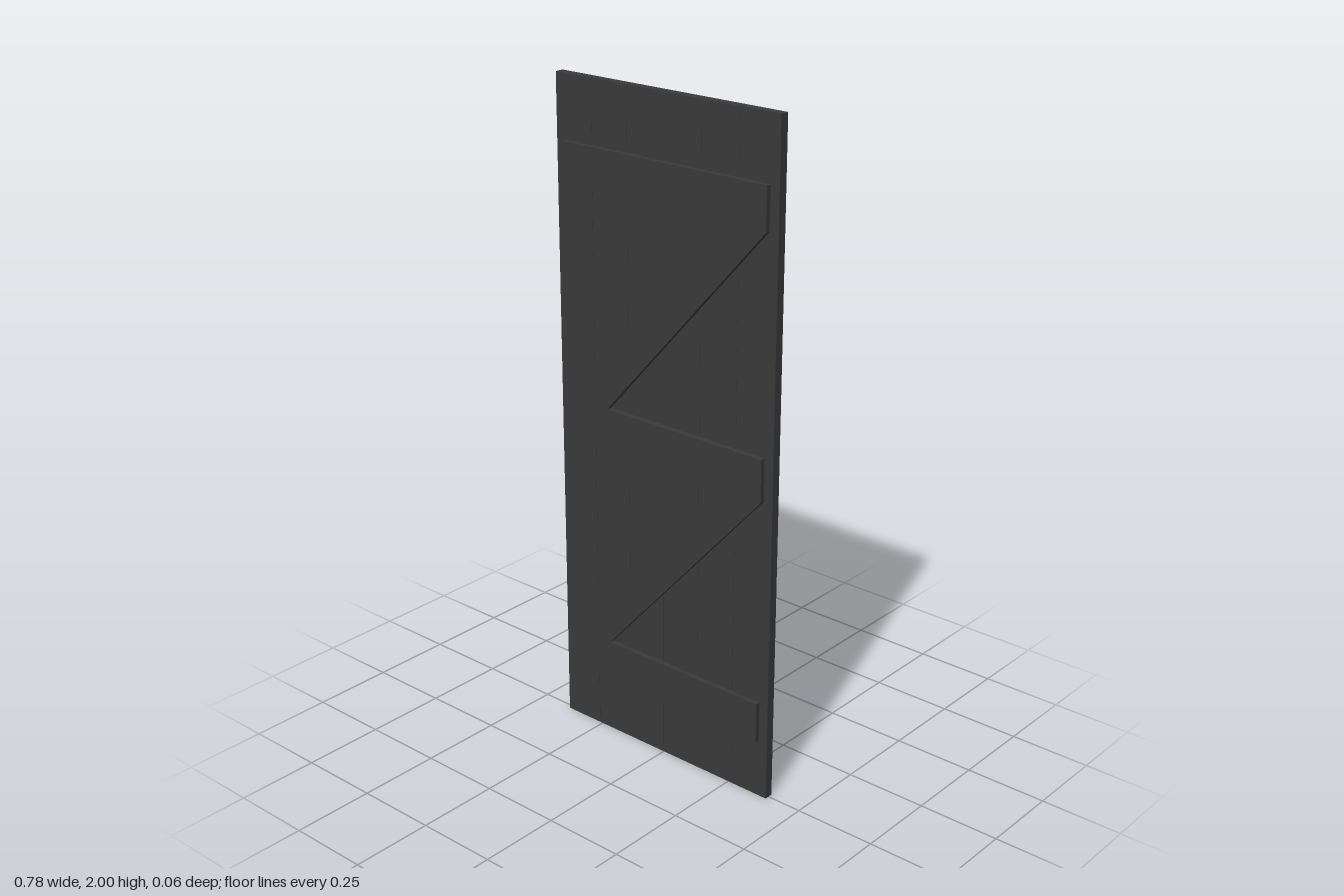
import * as THREE from 'three';

const PLANK_HALF = 0.0135; // half thickness of the planks
const FACE = 0.0285; // outer face of rails and braces
const LEFT = 0.36, RIGHT = -0.355; // ends of the rails
const BRACE = 0.155; // horizontal width of a brace

export function createModel() {
  const door = new THREE.Group();
  door.name = 'plankDoor';
  const material = new THREE.MeshStandardMaterial({ color: 0x3a3a3a });

  const add = (parent, name, geometry, x, y, z) => {
    const mesh = new THREE.Mesh(geometry, material);
    mesh.name = name;
    mesh.position.set(x, y, z);
    parent.add(mesh);
  };

  // Six upright planks with hairline joints
  const plank = new THREE.BoxGeometry(0.1295, 2, PLANK_HALF * 2);
  for (let i = 0; i < 6; i++) add(door, 'plank', plank, (i - 2.5) * 0.13, 1, 0);

  // Horizontal rails: [bottom, top]
  const rails = [[0.18, 0.307], [0.932, 1.06], [1.69, 1.815]];
  const depth = FACE - PLANK_HALF;

  // The same Z-shaped framing on both faces
  for (const side of [1, -1]) {
    const frame = new THREE.Group();
    frame.name = side > 0 ? 'frontFrame' : 'backFrame';
    door.add(frame);

    for (const [y0, y1] of rails) {
      const rail = new THREE.BoxGeometry(LEFT - RIGHT, y1 - y0, depth);
      add(frame, 'rail', rail, (LEFT + RIGHT) / 2, (y0 + y1) / 2, side * (PLANK_HALF + depth / 2));
    }

    // Slanted braces between neighbouring rails
    for (let i = 0; i < 2; i++) {
      const y0 = rails[i][1], y1 = rails[i + 1][0];
      const outline = new THREE.Shape([
        new THREE.Vector2(RIGHT, y0),
        new THREE.Vector2(RIGHT + BRACE, y0),
        new THREE.Vector2(LEFT, y1),
        new THREE.Vector2(LEFT - BRACE, y1),
      ]);
      const brace = new THREE.ExtrudeGeometry(outline, { depth, bevelEnabled: false });
      add(frame, 'diagonalBrace', brace, 0, 0, side > 0 ? PLANK_HALF : -FACE);
    }
  }
  return door;
}
